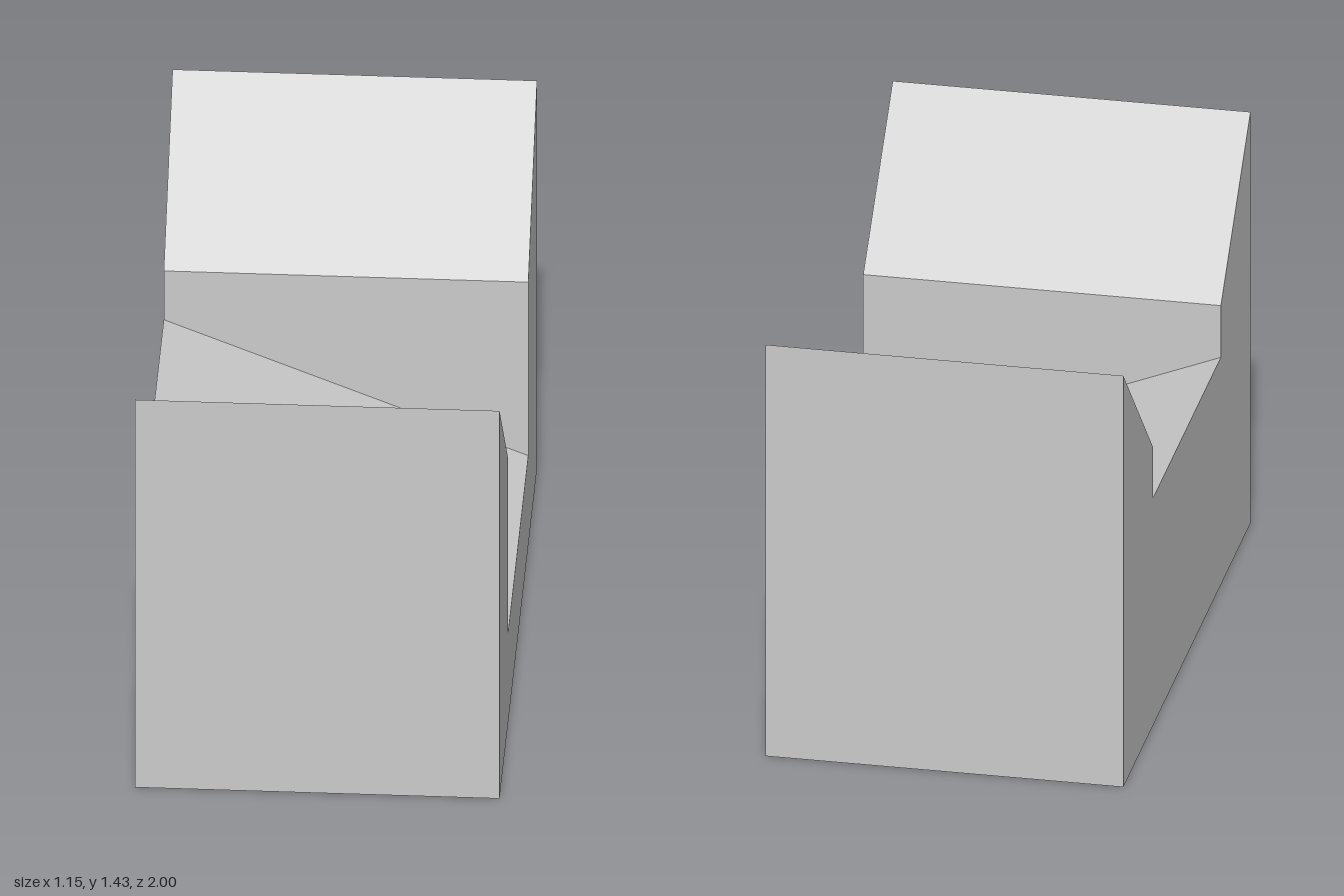
import * as THREE from 'three';

const WIDTH = 1.15;      // along x
const SLOT = 0.535;      // half length of the channel along z
const FLOOR_LOW = 0.33;  // channel floor at the +x side
const FLOOR_HIGH = 0.79; // channel floor at the -x side

export function createModel() {
  const group = new THREE.Group();
  group.name = 'channelBlock';

  // U-shaped side profile with bevelled uprights
  const profile = new THREE.Shape([
    [-1, 0], [1, 0], [1, 1.43], [SLOT, 0.97], [SLOT, FLOOR_LOW],
    [-SLOT, FLOOR_LOW], [-SLOT, 0.97], [-1, 1.43],
  ].map(([z, y]) => new THREE.Vector2(z, y)));

  const geometry = new THREE.ExtrudeGeometry(profile, { depth: WIDTH, bevelEnabled: false });
  geometry.translate(0, 0, -WIDTH / 2);
  geometry.rotateY(Math.PI / 2);

  // Raise the channel floor on the -x side to make it a ramp
  const pos = geometry.attributes.position;
  for (let i = 0; i < pos.count; i++) {
    if (pos.getX(i) < 0 && Math.abs(pos.getY(i) - FLOOR_LOW) < 0.001) pos.setY(i, FLOOR_HIGH);
  }
  geometry.computeVertexNormals();

  const material = new THREE.MeshStandardMaterial({ color: 0xcccccc, flatShading: true });
  const body = new THREE.Mesh(geometry, material);
  body.name = 'slopedChannelBody';
  group.add(body);
  return group;
}
